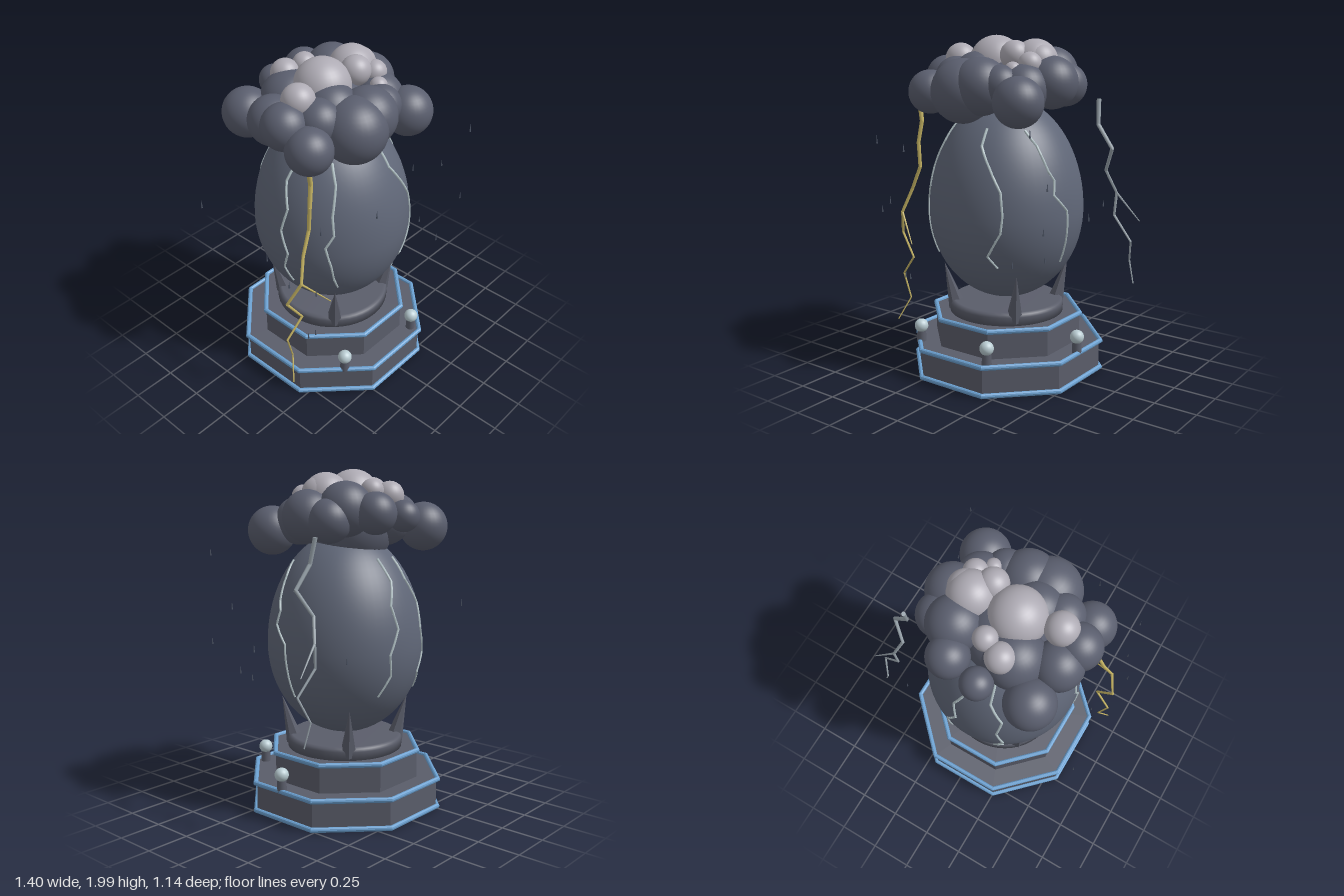
import * as THREE from 'three';
import { mergeGeometries } from 'three/addons/utils/BufferGeometryUtils.js';

const mat = (name, color) => new THREE.MeshStandardMaterial({ name, color });
const V = (x, y, z) => new THREE.Vector3(x, y, z);
const CX = -0.028, CZ = -0.014; // shared axis of pedestal and egg

// Split faces so every side is flat
function faceted(geo) {
  const g = geo.toNonIndexed();
  g.computeVertexNormals();
  return g;
}

// Tapered jagged strand running through a list of points
function strand(points, r0, r1, sides = 6) {
  const n = points.length - 1, parts = [];
  for (let i = 0; i < n; i++) {
    const a = points[i], b = points[i + 1], d = b.clone().sub(a);
    const ra = r0 + (r1 - r0) * i / n, rb = r0 + (r1 - r0) * (i + 1) / n;
    const g = new THREE.CylinderGeometry(rb, ra, d.length() + ra * 0.5, sides);
    g.applyQuaternion(new THREE.Quaternion().setFromUnitVectors(V(0, 1, 0), d.normalize()));
    g.translate((a.x + b.x) / 2, (a.y + b.y) / 2, (a.z + b.z) / 2);
    parts.push(g);
  }
  return mergeGeometries(parts);
}

// Egg: widest at y = 0.985, with a longer upper half
const EGG = { r: 0.46, y: 0.985, down: 0.54, up: 0.66 };
const eggRadius = (y) => {
  const t = (y - EGG.y) / (y > EGG.y ? EGG.up : EGG.down);
  return EGG.r * Math.sqrt(Math.max(0, 1 - t * t));
};

export function createModel() {
  const root = new THREE.Group();
  root.name = 'stormEgg';
  const stone = mat('stone', 0x5a5d6a), shell = mat('shell', 0x606778);
  const trim = mat('blueTrim', 0x6ba0d0), orb = mat('paleOrb', 0xb9ccd2);
  const dark = mat('stormCloud', 0x5a5e6e), light = mat('paleCloud', 0xaeabb4);
  const yellow = mat('yellowBolt', 0xc9b765), silver = mat('silverBolt', 0x9aa5ad);
  const crackMat = mat('crack', 0xb4c4c8), rainMat = mat('rain', 0x4a5262);

  const add = (name, geo, material, x = 0, y = 0, z = 0, parent = root) => {
    const m = new THREE.Mesh(geo, material);
    m.name = name;
    m.position.set(x, y, z);
    parent.add(m);
    return m;
  };

  // Octagonal tiers and their blue edging
  const k = 1 / Math.cos(Math.PI / 8);
  const tier = (name, apothem, y0, y1) => {
    const g = new THREE.CylinderGeometry(apothem * k, apothem * k, y1 - y0, 8);
    add(name, faceted(g.rotateY(Math.PI / 8)), stone, CX, (y0 + y1) / 2, CZ);
  };
  const edging = (name, apothem, y) => {
    const g = new THREE.TorusGeometry(apothem * k, 0.015, 10, 8);
    add(name, faceted(g.rotateZ(Math.PI / 8).rotateX(Math.PI / 2)), trim, CX, y, CZ);
  };
  tier('lowerTier', 0.53, 0.015, 0.19);
  tier('upperTier', 0.418, 0.19, 0.355);
  edging('lowerTierBottomEdging', 0.538, 0.022);
  edging('lowerTierTopEdging', 0.538, 0.19);
  edging('upperTierEdging', 0.42, 0.355);

  // Round seat for the egg
  const seat = [[0, 0.35], [0.345, 0.35], [0.345, 0.405], [0.338, 0.42], [0.322, 0.43], [0, 0.43]];
  add('seat', new THREE.LatheGeometry(seat.map(p => new THREE.Vector2(...p)), 48), stone, CX, 0, CZ);

  // Four leaning prongs on the diagonals
  for (let i = 0; i < 4; i++) {
    const pivot = new THREE.Group();
    pivot.name = 'prong' + (i + 1);
    pivot.position.set(CX, 0, CZ);
    pivot.rotation.y = Math.PI / 4 + i * Math.PI / 2;
    const p = add('prongSpike', faceted(new THREE.ConeGeometry(0.052, 0.29, 6)), stone, 0, 0.52, 0.34, pivot);
    p.rotation.x = 0.26;
    root.add(pivot);
  }

  // Short posts carrying glass orbs
  for (const [x, z] of [[-0.364, 0.395], [0.183, 0.462], [0.495, 0.008]]) {
    add('orbPost', new THREE.CylinderGeometry(0.026, 0.029, 0.08, 16), stone, x, 0.225, z);
    add('orb', new THREE.SphereGeometry(0.041, 20, 14), orb, x, 0.285, z);
  }

  // Egg body
  const profile = [];
  for (let i = 0; i <= 40; i++) {
    const a = -Math.PI / 2 + Math.PI * i / 40, s = Math.sin(a);
    profile.push(new THREE.Vector2(Math.max(0, EGG.r * Math.cos(a)), EGG.y + s * (s > 0 ? EGG.up : EGG.down)));
  }
  add('egg', new THREE.LatheGeometry(profile, 56), shell, CX, 0, CZ);

  // Raised cracks: [angle from front in degrees, height]
  const cracks = [
    [[-47, 1.5], [-44, 1.4], [-47, 1.24], [-46, 1.13], [-52, 1.05], [-48, 0.92], [-46, 0.81], [-43, 0.73]],
    [[15, 1.49], [14, 1.4], [23, 1.29], [32, 1.16], [33.5, 1.03], [32, 0.93], [22, 0.79], [29, 0.72]],
    [[56, 1.48], [64, 1.4], [70, 1.26], [74, 1.21], [72, 1.13], [84, 1.03], [85, 0.9], [86, 0.72]],
    [[170, 1.5], [175, 1.38], [168, 1.25], [172, 1.12], [164, 0.98], [166, 0.86], [158, 0.74]],
    [[200, 1.5], [198, 1.38], [208, 1.24], [204, 1.1], [209, 0.95], [202, 0.84], [212, 0.73]],
    [[275, 1.5], [271, 1.38], [278, 1.24], [274, 1.1], [280, 0.96], [275, 0.84], [279, 0.73]],
  ];
  for (const c of cracks) {
    const pts = [];
    const steps = (c.length - 1) * 3;
    for (let i = 0; i <= steps; i++) {
      const j = Math.min(Math.floor(i / 3), c.length - 2), t = i / 3 - j;
      const a = THREE.MathUtils.degToRad(c[j][0] + (c[j + 1][0] - c[j][0]) * t);
      const y = c[j][1] + (c[j + 1][1] - c[j][1]) * t, r = eggRadius(y) + 0.002;
      pts.push(V(CX + r * Math.sin(a), y, CZ + r * Math.cos(a)));
    }
    add('crack', strand(pts, 0.008, 0.006), crackMat);
  }

  // Cloud crown: [x, y, z, radius]
  const ball = new THREE.SphereGeometry(1, 32, 22);
  const puffs = (name, material, list) => {
    const group = new THREE.Group();
    group.name = name;
    for (const [x, y, z, r] of list) add('puff', ball, material, x, y, z, group).scale.setScalar(r);
    root.add(group);
  };
  puffs('darkCloud', dark, [
    [-0.36, 1.67, -0.335, 0.142], [-0.085, 1.74, -0.4, 0.09], [0.11, 1.76, -0.355, 0.118],
    [0.17, 1.78, -0.19, 0.155], [0.285, 1.74, -0.02, 0.15], [0.28, 1.72, -0.17, 0.125],
    [0.27, 1.65, 0.285, 0.142], [0.105, 1.73, 0.225, 0.115], [-0.14, 1.69, 0.25, 0.185],
    [-0.02, 1.72, 0.24, 0.165], [-0.43, 1.67, 0.2, 0.13], [-0.435, 1.75, 0.03, 0.13],
    [-0.39, 1.72, -0.1, 0.14], [-0.15, 1.76, 0.1, 0.15], [-0.18, 1.73, -0.18, 0.17],
    [-0.28, 1.75, 0.13, 0.13], [0.2, 1.71, 0.13, 0.14], [-0.05, 1.67, -0.05, 0.24],
  ]);
  puffs('paleCloud', light, [
    [-0.1, 1.84, -0.015, 0.16], [0.16, 1.85, -0.035, 0.132], [-0.33, 1.86, 0.03, 0.093],
    [-0.14, 1.85, -0.255, 0.083], [-0.03, 1.88, -0.215, 0.067], [0.085, 1.89, 0.06, 0.085],
    [0.21, 1.845, 0.09, 0.068], [0.15, 1.81, 0.17, 0.05], [0.2, 1.86, -0.02, 0.1],
  ]);

  // Lightning bolts, each with one side branch
  const bolt = (name, material, path, forkIndex, tip, r0) => {
    const pts = path.map(p => V(...p));
    const group = new THREE.Group();
    group.name = name;
    add('boltStem', strand(pts, r0, 0.004), material, 0, 0, 0, group);
    add('boltBranch', strand([pts[forkIndex], V(...tip)], 0.007, 0.003), material, 0, 0, 0, group);
    root.add(group);
  };
  bolt('rightBolt', yellow, [
    [-0.475, 1.57, 0.24], [-0.465, 1.5, 0.24], [-0.487, 1.37, 0.25], [-0.487, 1.22, 0.24],
    [-0.545, 1.08, 0.25], [-0.6, 0.935, 0.285], [-0.656, 0.79, 0.225], [-0.557, 0.645, 0.24],
    [-0.66, 0.52, 0.22], [-0.614, 0.365, 0.21], [-0.672, 0.225, 0.27],
  ], 5, [-0.455, 0.77, 0.365], 0.014);
  bolt('leftBolt', silver, [
    [0.466, 1.64, -0.235], [0.48, 1.5, -0.21], [0.58, 1.37, -0.2], [0.508, 1.23, -0.26],
    [0.555, 1.095, -0.31], [0.545, 0.96, -0.305], [0.667, 0.82, -0.29], [0.63, 0.69, -0.35],
    [0.667, 0.555, -0.335],
  ], 4, [0.693, 0.937, -0.34], 0.013);

  // Falling rain
  const drop = new THREE.ConeGeometry(0.005, 0.05, 6);
  const rain = new THREE.Group();
  rain.name = 'rain';
  root.add(rain);
  for (const [x, y, z] of [
    [-0.69, 1.19, -0.4], [-0.6, 0.98, 0.02], [-0.695, 1, 0.29], [-0.63, 0.98, 0.425],
    [-0.625, 1.4, 0.46], [-0.315, 1.39, 0.565], [0.41, 1, -0.41], [0.61, 1.03, 0.095],
    [0.52, 1.23, 0.37], [0.575, 1.02, 0.485], [0.525, 1.53, 0.54], [0.37, 0.81, 0.475],
    [0.45, 0.81, 0.285], [-0.57, 0.55, 0.3], [-0.523, 0.55, 0.31],
  ]) add('raindrop', drop, rainMat, x, y, z, rain);

  return root;
}
